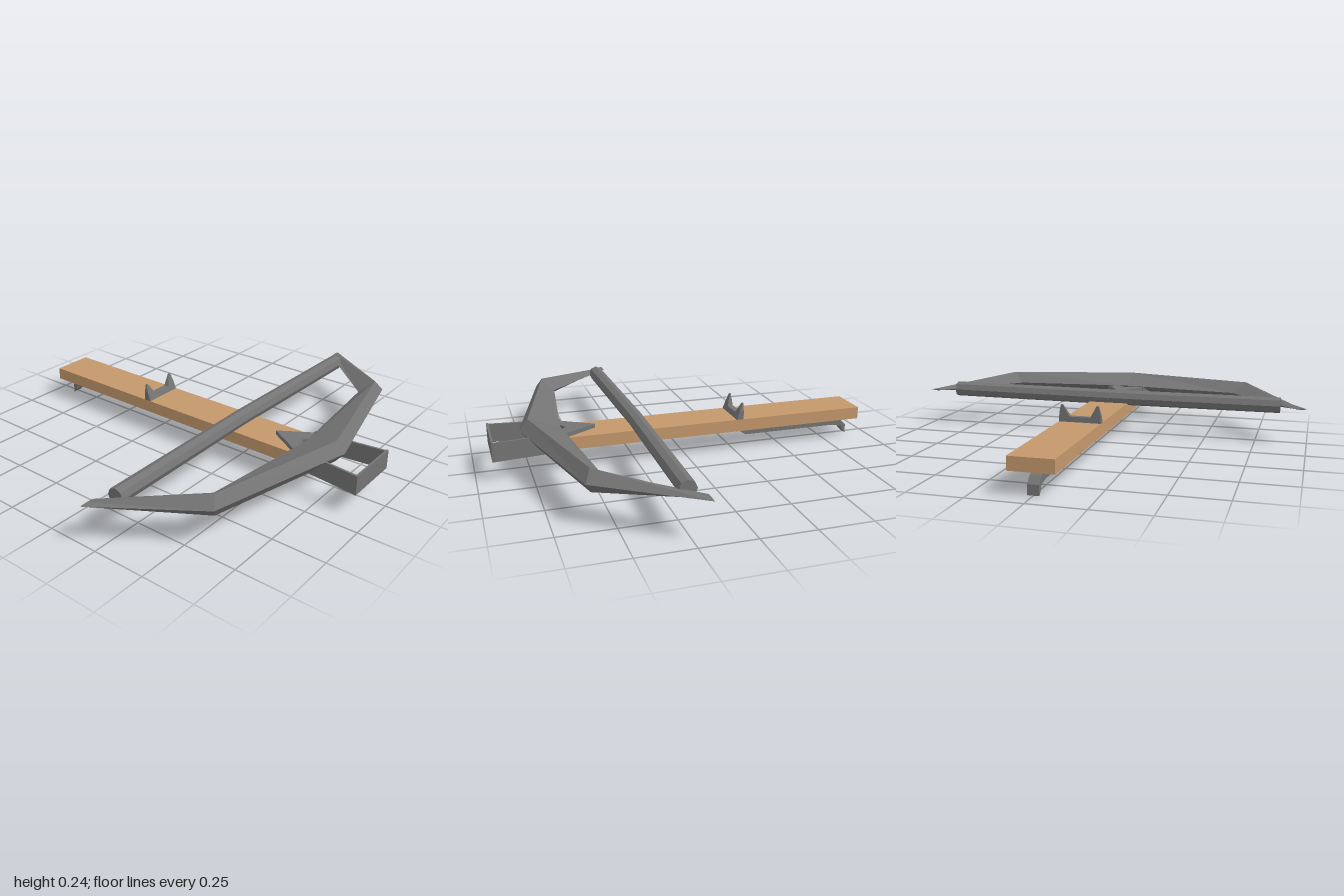
import * as THREE from 'three';

const wood = new THREE.MeshStandardMaterial({ color: 0xc4986c, flatShading: true });
wood.name = 'wood';
const metal = new THREE.MeshStandardMaterial({ color: 0x747474, flatShading: true, side: THREE.DoubleSide });
metal.name = 'grey metal';

function add(parent, name, geometry, material) {
  const mesh = new THREE.Mesh(geometry, material);
  mesh.name = name;
  parent.add(mesh);
  return mesh;
}

function box(parent, name, material, x0, x1, y0, y1, z0, z1) {
  const mesh = add(parent, name, new THREE.BoxGeometry(x1 - x0, y1 - y0, z1 - z0), material);
  mesh.position.set((x0 + x1) / 2, (y0 + y1) / 2, (z0 + z1) / 2);
  return mesh;
}

function extrude(points, depth) {
  const shape = new THREE.Shape(points.map(([x, y]) => new THREE.Vector2(x, y)));
  return new THREE.ExtrudeGeometry(shape, { depth, bevelEnabled: false });
}

// Diamond cross-sections joined from one tip to the other
function limbGeometry() {
  const Y = 0.183;
  // each corner: x, y, z, in the order outer, top, inner, bottom
  const section = (outer, ridge, inner, h, s) => [
    [outer[0], Y, s * outer[1]],
    [ridge[0], Y + h, s * ridge[1]],
    [inner[0], Y, s * inner[1]],
    [ridge[0], Y - h, s * ridge[1]],
  ];
  const tip = s => section([0.185, 1], [0.187, 0.965], [0.185, 0.93], 0.004, s);
  const knee = s => section([0.612, 0.705], [0.585, 0.665], [0.53, 0.6], 0.052, s);
  const rings = [tip(-1), knee(-1), section([0.787, 0], [0.745, 0], [0.595, 0], 0.052, 1), knee(1), tip(1)];
  const out = [];
  const quad = (a, b, c, d) => out.push(...a, ...b, ...c, ...a, ...c, ...d);
  for (let i = 0; i < rings.length - 1; i++) {
    for (let j = 0; j < 4; j++) {
      const k = (j + 1) % 4;
      quad(rings[i][j], rings[i][k], rings[i + 1][k], rings[i + 1][j]);
    }
  }
  quad(...rings[0]);
  quad(...rings[4]);
  const g = new THREE.BufferGeometry();
  g.setAttribute('position', new THREE.Float32BufferAttribute(out, 3));
  g.computeVertexNormals();
  return g;
}

// Two-horned rear sight, thinning toward the tips
function sightGeometry() {
  const g = extrude([
    [-0.1, 0.155], [0.1, 0.155], [0.098, 0.2], [0.09, 0.24], [0.08, 0.24], [0.05, 0.185],
    [-0.05, 0.185], [-0.08, 0.24], [-0.09, 0.24], [-0.098, 0.2],
  ], 1);
  g.rotateY(Math.PI / 2);
  const p = g.attributes.position;
  for (let i = 0; i < p.count; i++) {
    const t = (p.getY(i) - 0.16) / 0.08;
    p.setX(i, -0.292 + p.getX(i) * THREE.MathUtils.lerp(0.036, 0.006, t));
  }
  g.computeVertexNormals();
  return g;
}

export function createModel() {
  const model = new THREE.Group();
  model.name = 'crossbow';

  box(model, 'stock', wood, -0.925, 0.61, 0.1, 0.16, -0.1, 0.1);
  add(model, 'bowLimb', limbGeometry(), metal);
  add(model, 'rearSight', sightGeometry(), metal);

  // Bowstring: two octagonal halves meeting at a slight bend
  const string = new THREE.Group();
  string.name = 'bowstring';
  model.add(string);
  for (const s of [-1, 1]) {
    const a = new THREE.Vector3(0.232, 0.185, 0);
    const b = new THREE.Vector3(0.246, 0.185, s * 0.867);
    const dir = b.clone().sub(a);
    const half = add(string, 'stringHalf', new THREE.CylinderGeometry(0.039, 0.039, dir.length(), 8), metal);
    half.position.copy(a).add(b).multiplyScalar(0.5);
    half.quaternion.setFromUnitVectors(new THREE.Vector3(0, 1, 0), dir.normalize());
  }

  // Long trigger lever under the stock
  const lever = add(model, 'triggerLever', extrude([
    [-0.9, 0], [-0.88, 0.022], [-0.875, 0.04], [-0.82, 0.05], [-0.335, 0.05], [-0.29, 0.08], [-0.28, 0.105],
    [-0.305, 0.1], [-0.335, 0.087], [-0.83, 0.087], [-0.87, 0.075], [-0.9, 0.045],
  ], 0.05), metal);
  lever.position.z = -0.025;

  // Front bracket: notched plates above and below the stock, then a stirrup
  const bracket = new THREE.Group();
  bracket.name = 'bracket';
  model.add(bracket);
  const arrow = [[0.43, 0], [0.6, -0.105], [0.64, -0.11], [0.6, -0.04], [0.57, 0], [0.6, 0.04], [0.64, 0.11], [0.6, 0.105]];
  for (const [name, top, depth] of [['upperPlate', 0.18, 0.022], ['lowerPlate', 0.101, 0.007]]) {
    const plate = add(bracket, name, extrude(arrow, depth), metal);
    plate.rotation.x = Math.PI / 2;
    plate.position.y = top;
  }
  for (const s of [-1, 1]) {
    const pts = [[0.58, 0.1], [0.92, 0.14], [0.92, 0.129], [0.58, 0.09]].map(([x, z]) => [x, s * z]);
    const arm = add(bracket, 'stirrupArm', extrude(pts, 0.09), metal);
    arm.rotation.x = Math.PI / 2;
    arm.position.y = 0.185;
  }
  box(bracket, 'stirrupFront', metal, 0.914, 0.924, 0.095, 0.187, -0.142, 0.142);

  return model;
}
